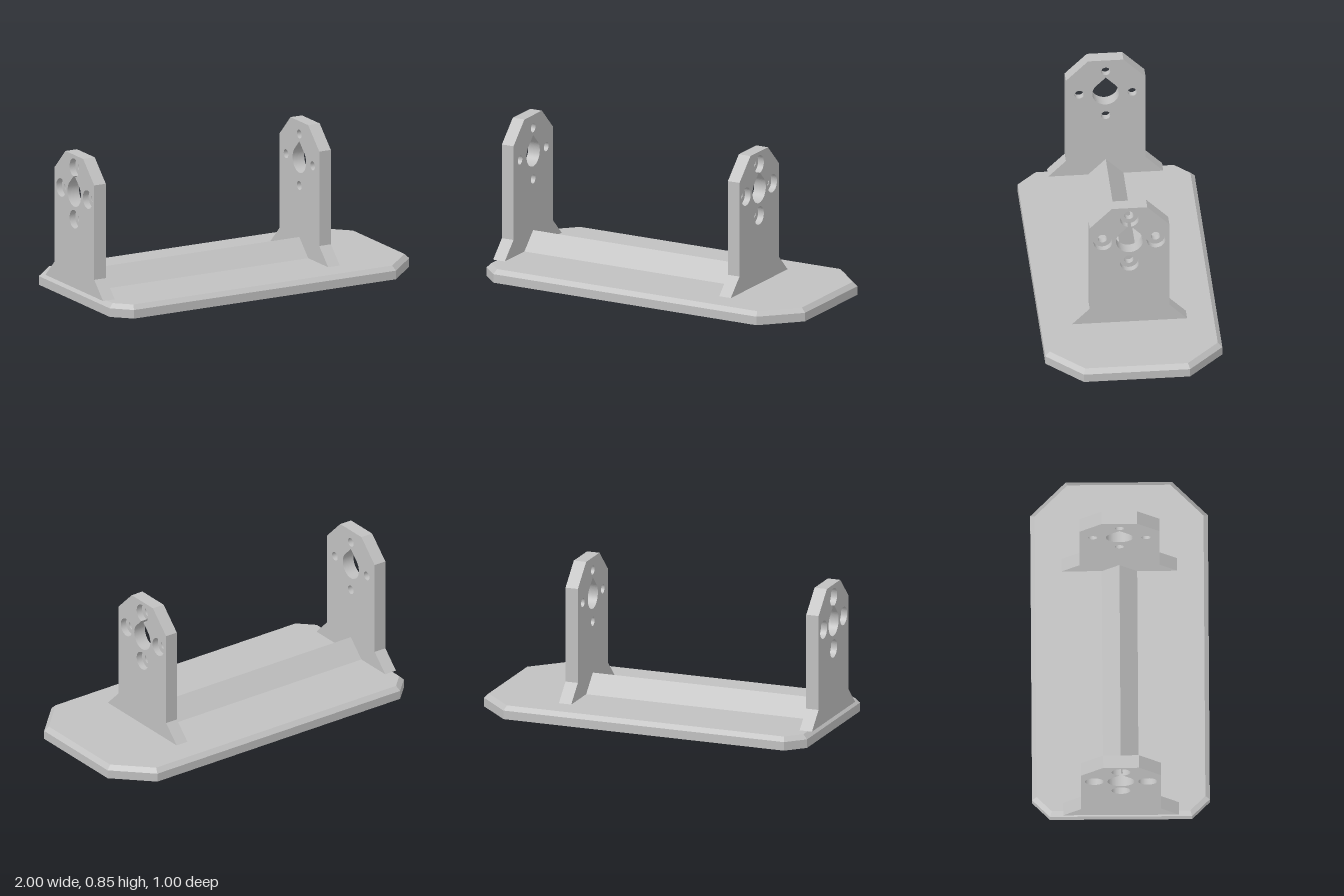
import * as THREE from 'three';
import { ConvexGeometry } from 'three/addons/geometries/ConvexGeometry.js';

const THICK = 0.075, BORE_DEPTH = 0.0375;
const HUB_Y = 0.625, HUB_R = 0.076, BOLT_CIRCLE = 0.15, BOLT_R = 0.026, BORE_R = 0.053;

// Corner points of the base plate, pulled in by a given distance, at one height
function plateRing(inset, y) {
  const k = inset * Math.tan(Math.PI / 8);
  const corners = [[1 - inset, 0.3 - k], [0.8 - k, 0.5 - inset], [-0.9 + k, 0.5 - inset], [-1 + inset, 0.4 - k]];
  return corners.flatMap(([x, z]) => [new THREE.Vector3(x, y, z), new THREE.Vector3(x, y, -z)]);
}

// Outline of an upright: splayed foot, straight sides, clipped top corners
function uprightOutline() {
  const half = [[0.325, 0.075], [0.225, 0.175], [0.225, 0.725], [0.1, 0.85]];
  const mirrored = half.map(([u, v]) => [-u, v]).reverse();
  return new THREE.Shape([...half, ...mirrored].map(([u, v]) => new THREE.Vector2(u, v)));
}

// One layer of an upright; in the counterbored layer the top bore runs into the teardrop tip
function uprightLayer(boltRadius, depth, counterbored) {
  const shape = uprightOutline();
  const tip = HUB_Y + HUB_R * Math.SQRT2;
  const topY = HUB_Y + BOLT_CIRCLE;

  const teardrop = new THREE.Path();
  teardrop.absarc(0, HUB_Y, HUB_R, Math.PI * 0.75, Math.PI * 2.25, false);
  if (counterbored) {
    const gap = topY - tip;
    const t = (-gap + Math.sqrt(2 * boltRadius ** 2 - gap ** 2)) / 2;
    const a = Math.atan2(-(gap + t), t);
    teardrop.absarc(0, topY, boltRadius, a, Math.PI - a, false);
  } else {
    teardrop.lineTo(0, tip);
  }
  shape.holes.push(teardrop);

  const bolts = [[BOLT_CIRCLE, HUB_Y], [-BOLT_CIRCLE, HUB_Y], [0, HUB_Y - BOLT_CIRCLE]];
  if (!counterbored) bolts.push([0, topY]);
  for (const [u, v] of bolts) {
    const hole = new THREE.Path();
    hole.absarc(u, v, boltRadius, 0, Math.PI * 2, false);
    shape.holes.push(hole);
  }
  return new THREE.ExtrudeGeometry(shape, { depth, bevelEnabled: false, curveSegments: 32 });
}

export function createModel() {
  const model = new THREE.Group();
  model.name = 'spindleStand';
  const grey = new THREE.MeshStandardMaterial({ color: 0xc0c0c0 });
  grey.name = 'light grey';

  const add = (parent, name, geometry) => {
    const mesh = new THREE.Mesh(geometry, grey);
    mesh.name = name;
    parent.add(mesh);
    return mesh;
  };

  // Base plate with clipped corners and a chamfered top edge
  add(model, 'basePlate', new ConvexGeometry([
    ...plateRing(0, 0), ...plateRing(0, 0.05), ...plateRing(0.025, 0.075),
  ]));

  // Triangular stiffening ridge between the uprights
  const ridgeShape = new THREE.Shape([
    new THREE.Vector2(-0.1, 0.075), new THREE.Vector2(0.1, 0.075), new THREE.Vector2(0, 0.175),
  ]);
  const ridge = add(model, 'ridge', new THREE.ExtrudeGeometry(ridgeShape, { depth: 1.385, bevelEnabled: false }));
  ridge.rotation.y = Math.PI / 2;
  ridge.position.x = -0.925;

  // Two uprights, counterbored on their outer faces
  const inner = uprightLayer(BOLT_R, THICK - BORE_DEPTH, false);
  const outer = uprightLayer(BORE_R, BORE_DEPTH, true);
  outer.translate(0, 0, THICK - BORE_DEPTH);
  for (const [name, x, side] of [['leftUpright', 0.46, 1], ['rightUpright', -0.925, -1]]) {
    const upright = new THREE.Group();
    upright.name = name;
    add(upright, 'innerLayer', inner);
    add(upright, 'counterboredLayer', outer);
    upright.rotation.y = side * Math.PI / 2;
    upright.position.x = x;
    model.add(upright);
  }
  return model;
}
